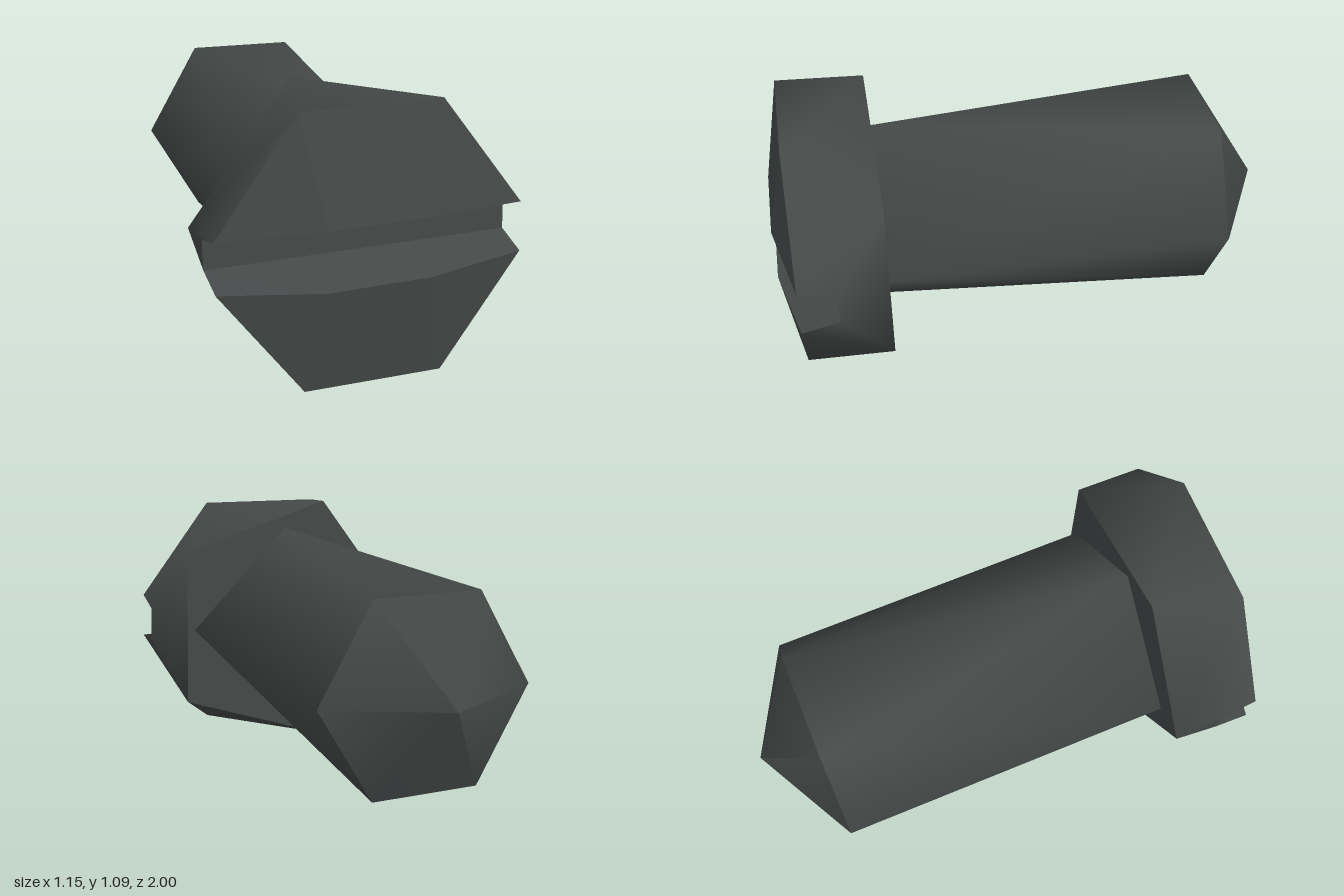
import * as THREE from 'three';

const material = new THREE.MeshStandardMaterial({ color: 0x444948 });
const AXIS_Y = 0.555;

function build(name, points, index, flat) {
  let geo = new THREE.BufferGeometry();
  geo.setAttribute('position', new THREE.Float32BufferAttribute(points.flat(), 3));
  geo.setIndex(index);
  if (flat) geo = geo.toNonIndexed();
  geo.computeVertexNormals();
  const mesh = new THREE.Mesh(geo, material);
  mesh.name = name;
  return mesh;
}

// Flat-shaded convex polygons, each split into a fan
function panels(name, polygons) {
  const points = [], index = [];
  for (const poly of polygons) {
    const base = points.length;
    points.push(...poly);
    for (let i = 1; i < poly.length - 1; i++) index.push(base, base + i, base + i + 1);
  }
  return build(name, points, index, true);
}

// Smooth wall joining two rings with different side counts (clockwise seen from the front).
// owners[i] is the back corner that front edge i is joined to.
function wall(name, front, back, owners) {
  const n = front.length, index = [];
  for (let i = 0; i < n; i++) {
    let b = owners[(i + n - 1) % n];
    while (b !== owners[i]) {
      const next = (b + 1) % back.length;
      index.push(i, n + next, n + b);
      b = next;
    }
    index.push(i, (i + 1) % n, n + b);
  }
  return build(name, [...front, ...back], index, false);
}

// Regular ring of corners, clockwise from a start angle in degrees
function ring(sides, radius, start, z) {
  return Array.from({ length: sides }, (_, k) => {
    const a = THREE.MathUtils.degToRad(start - (360 / sides) * k);
    return [radius * Math.cos(a), AXIS_Y + radius * Math.sin(a), z];
  });
}

export function createModel() {
  const model = new THREE.Group();

  // Shaft: four corners under the head, six at the tip end
  const shaft = wall('shaft', ring(4, 0.43, 90, 0.58), ring(6, 0.43, 120, -0.77), [1, 3, 4, 0]);

  // Pointed tip
  const tipGeo = new THREE.ConeGeometry(0.43, 0.23, 6, 1, true, Math.PI / 2);
  tipGeo.rotateX(-Math.PI / 2);
  const tip = new THREE.Mesh(tipGeo, material);
  tip.name = 'tip';
  tip.position.set(0, AXIS_Y, -0.885);

  // Head corners: upper half (u) and lower half (l) of the slotted front
  const u = {
    slotL: [-0.568, 0.635, 0.925], crownL: [-0.19, 0.66, 1], crownR: [0.195, 0.672, 1],
    slotR: [0.562, 0.663, 0.925], rimR: [0.247, 1.07, 0.925], rimL: [-0.275, 1.06, 0.925],
    floorL: [-0.573, 0.598, 0.78], floorR: [0.567, 0.626, 0.78],
  };
  const l = {
    slotL: [-0.565, 0.445, 0.925], crownL: [-0.19, 0.436, 1], crownR: [0.195, 0.448, 1],
    slotR: [0.568, 0.475, 0.925], rimR: [0.27, 0.049, 0.925], rimL: [-0.248, 0.037, 0.925],
    floorL: [-0.57, 0.482, 0.78], floorR: [0.571, 0.511, 0.78],
  };
  const backRing = [
    [-0.19, 1.095], [0.454, 0.905], [0.472, 0.23], [-0.168, 0.003], [-0.575, 0.57],
  ].map(([x, y]) => [x, y, 0.58]);

  const head = new THREE.Group();
  head.name = 'head';
  head.add(
    wall('headSide', [
      u.rimL, u.rimR, u.slotR, u.floorR, l.floorR, l.slotR,
      l.rimR, l.rimL, l.slotL, l.floorL, u.floorL, u.slotL,
    ], backRing, [0, 1, 1, 1, 2, 2, 3, 4, 4, 4, 4, 4]),
    panels('headFront', [
      [u.slotL, u.crownL, u.rimL], [u.crownL, u.crownR, u.rimR, u.rimL], [u.crownR, u.slotR, u.rimR],
      [l.rimL, l.crownL, l.slotL], [l.rimL, l.rimR, l.crownR, l.crownL], [l.rimR, l.slotR, l.crownR],
    ]),
    panels('slot', [
      [u.floorL, u.floorR, u.slotR, u.crownR, u.crownL, u.slotL],
      [l.floorL, l.slotL, l.crownL, l.crownR, l.slotR, l.floorR],
      [l.floorL, l.floorR, u.floorR, u.floorL],
    ]),
    panels('headBack', [backRing]),
  );

  model.add(shaft, tip, head);
  return model;
}
